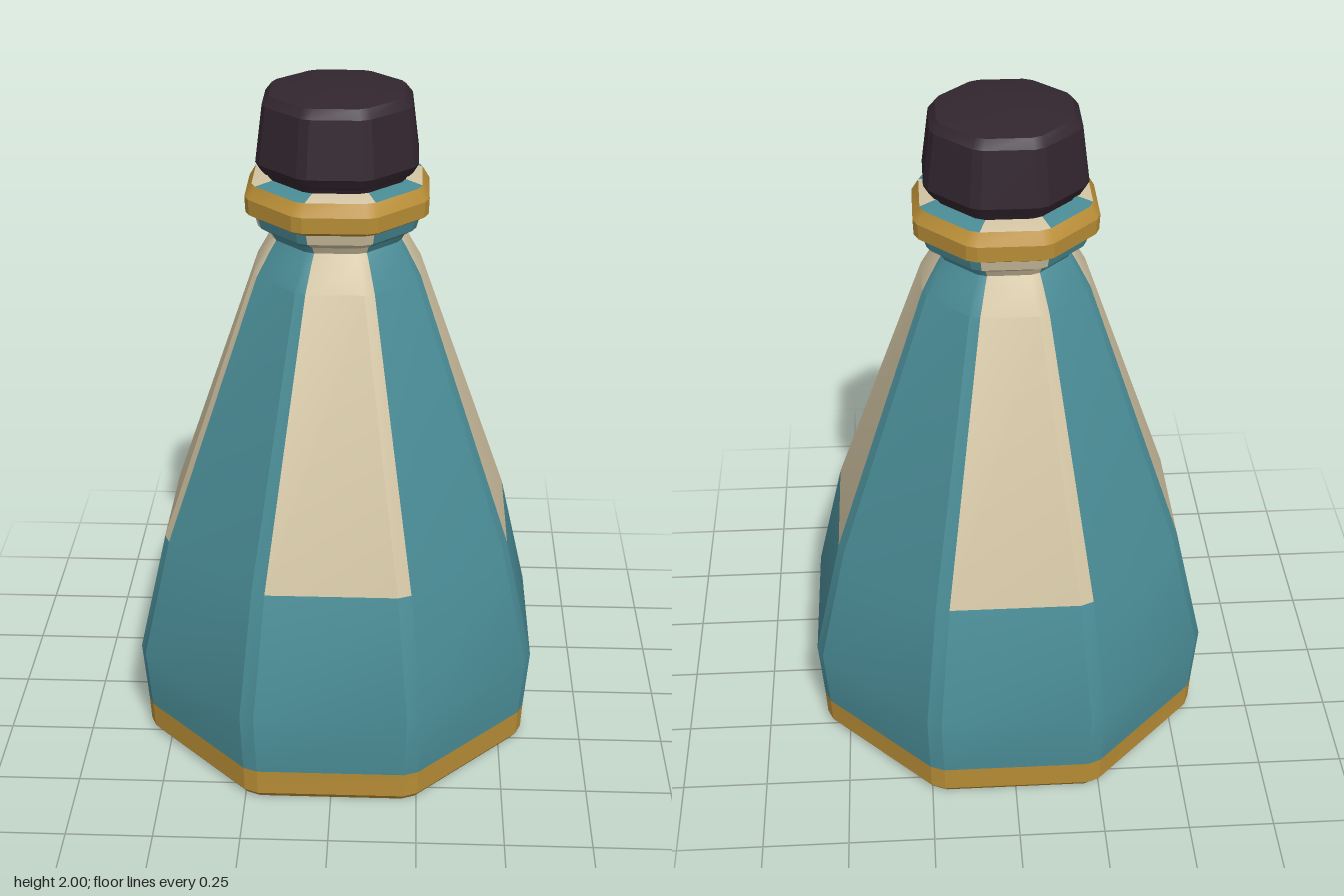
import * as THREE from 'three';
import { toCreasedNormals } from 'three/addons/utils/BufferGeometryUtils.js';

const material = (name, color) => {
  const m = new THREE.MeshStandardMaterial({ color });
  m.name = name;
  return m;
};

// Octagon ring with chamfered corners: 16 points, starting at the front face's left edge
function ring(r, y) {
  const half = r * Math.tan(Math.PI / 8);
  const h = half - Math.min(half, 0.012 + 0.02 * r);
  const points = [];
  for (let k = 0; k < 8; k++) {
    const a = (k * Math.PI) / 4, s = Math.sin(a), c = Math.cos(a);
    for (const t of [-h, h]) points.push([s * r + c * t, y, c * r - s * t]);
  }
  return points;
}

// Skin a profile of [radius, height]; pick(row, segment) gives the material index
function loft(profile, materials, pick) {
  const rings = profile.map(([r, y]) => ring(r, y));
  const buckets = materials.map(() => []);
  for (let i = 0; i < rings.length - 1; i++) {
    for (let j = 0; j < 16; j++) {
      const n = (j + 1) % 16;
      const a = rings[i][j], b = rings[i][n], c = rings[i + 1][n], d = rings[i + 1][j];
      const out = buckets[pick(i, j)];
      if (profile[i][0] > 0) out.push(...a, ...b, ...c);
      if (profile[i + 1][0] > 0) out.push(...a, ...c, ...d);
    }
  }
  const geometry = new THREE.BufferGeometry();
  geometry.setAttribute('position', new THREE.Float32BufferAttribute(buckets.flat(), 3));
  let start = 0;
  buckets.forEach((bucket, m) => {
    geometry.addGroup(start, bucket.length / 3, m);
    start += bucket.length / 3;
  });
  // Smooth the gentle vertical bends, keep the chamfers crisp
  return new THREE.Mesh(toCreasedNormals(geometry, 0.35), materials);
}

export function createModel() {
  const teal = material('teal glaze', 0x4a8c96);
  const cream = material('cream panel', 0xd3c5a4);
  const gold = material('gold trim', 0xba8f37);
  const dark = material('dark stopper', 0x33262f);
  const group = new THREE.Group();
  group.name = 'bottle';

  // Bottle: gold foot, tapering body, pinched neck, gold collar and lip
  const profile = [
    [0, 0], [0.555, 0], [0.57, 0.02], [0.574, 0.1],
    [0.588, 0.29], [0.505, 0.66],
    [0.235, 1.46], [0.195, 1.535], [0.18, 1.56], [0.19, 1.58], [0.22, 1.6], [0.228, 1.63],
    [0.253, 1.645], [0.255, 1.69], [0.235, 1.725],
    [0.185, 1.737], [0.14, 1.737],
  ];
  // Cream panels sit on the four main faces, some wrapping a chamfer
  const creamSegments = new Set([0, 1, 4, 8, 9, 12, 13]);
  const bottle = loft(profile, [teal, cream, gold], (row, segment) => {
    if (row < 3 || (row >= 11 && row < 14)) return 2;
    return row >= 5 && creamSegments.has(segment) ? 1 : 0;
  });
  bottle.name = 'bottleBody';
  group.add(bottle);

  // Stopper
  const stopper = loft([
    [0.185, 1.73], [0.195, 1.75], [0.208, 1.757], [0.224, 1.785],
    [0.204, 1.945], [0.185, 1.97], [0, 2],
  ], [dark], () => 0);
  stopper.name = 'stopper';
  group.add(stopper);

  return group;
}
